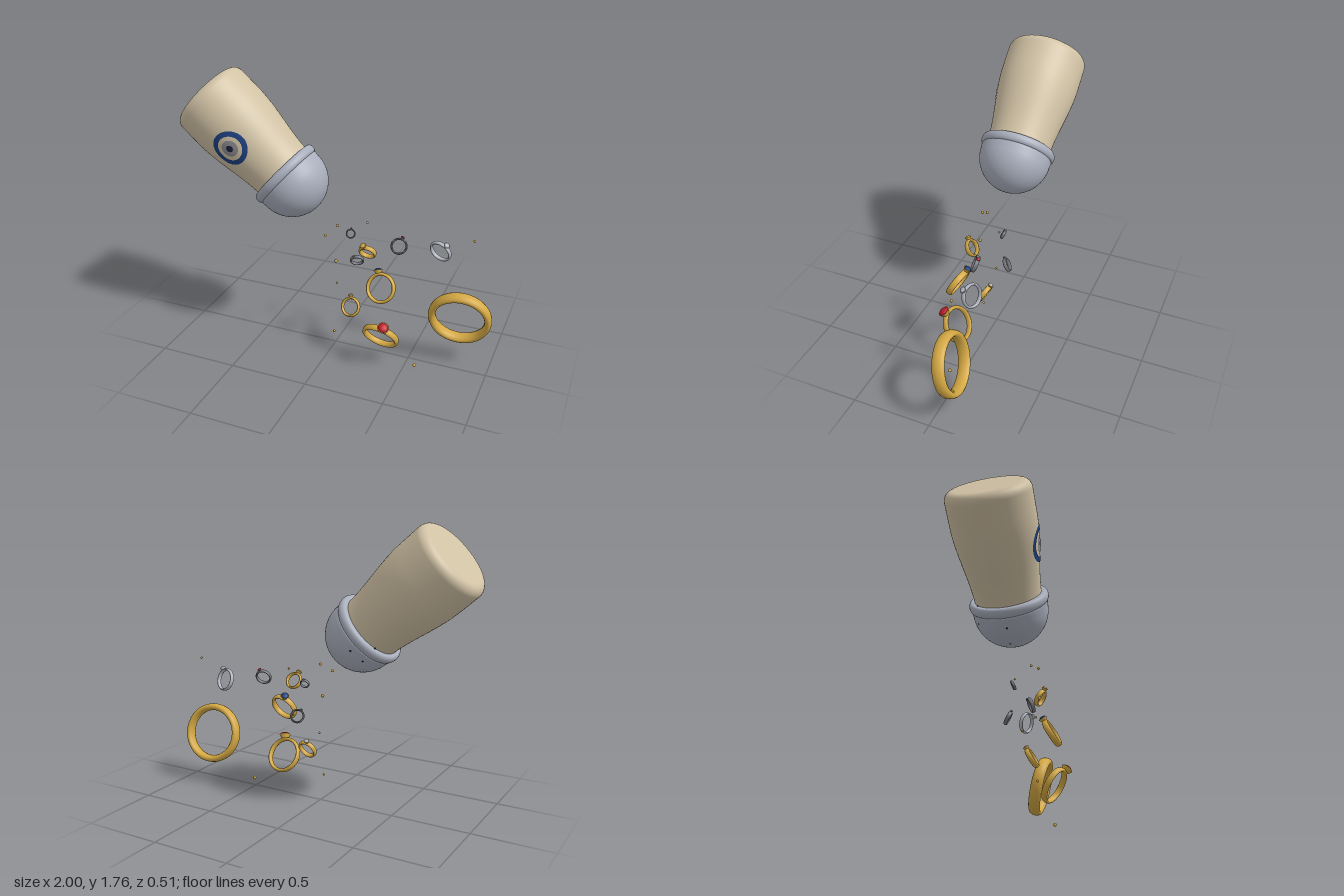
import * as THREE from 'three';

const material = (name, color) => {
  const m = new THREE.MeshStandardMaterial({ color });
  m.name = name;
  return m;
};
const clay = material('clay', 0xd1c2a5);
const lidMetal = material('lid metal', 0xa9aebc);
const gold = material('gold', 0xd4a843);
const silver = material('silver', 0xb2b6c0);
const darkSilver = material('dark silver', 0x77777f);
const blue = material('blue', 0x1d4080);
const red = material('red', 0xc0182a);
const grey = material('eye grey', 0x8c8c92);
const dark = material('dark', 0x1a2238);

const V = (x, y, z) => new THREE.Vector3(x, y, z);

function part(name, geometry, mat, parent) {
  const mesh = new THREE.Mesh(geometry, mat);
  mesh.name = name;
  parent.add(mesh);
  return mesh;
}

// Body radius at height s above the base
const bodyRadius = (s) => 0.253 - 0.054 * THREE.MathUtils.smoothstep(s, 0.2, 0.7);

// Flat ring or disc wrapped onto the body's side
function wrapped(inner, outer, lift) {
  const g = new THREE.RingGeometry(inner, outer, 48, 4);
  const p = g.attributes.position;
  for (let i = 0; i < p.count; i++) {
    const x = p.getX(i), y = p.getY(i) + 0.37;
    p.setXYZ(i, x, y, Math.sqrt(bodyRadius(y) ** 2 - x * x) + lift);
  }
  g.computeVertexNormals();
  return g;
}

function buildShaker() {
  const shaker = new THREE.Group();
  shaker.name = 'shaker';
  shaker.position.set(-0.856, 1.595, 0);
  shaker.rotation.z = THREE.MathUtils.degToRad(-131);

  // Waisted body with a rounded base
  const body = [new THREE.Vector2(0, 0), new THREE.Vector2(0.1, 0), new THREE.Vector2(0.19, 0)];
  for (let i = 0; i <= 8; i++) {
    const a = (i / 8) * Math.PI / 2;
    body.push(new THREE.Vector2(0.198 + 0.055 * Math.sin(a), 0.055 - 0.055 * Math.cos(a)));
  }
  for (let s = 0.1; s < 0.72; s += 0.03) body.push(new THREE.Vector2(bodyRadius(s), s));
  part('body', new THREE.LatheGeometry(body, 64), clay, shaker);

  // Lid collar with rounded edges
  const collar = [new THREE.Vector2(0.19, 0.66)];
  for (let i = 0; i <= 12; i++) {
    const a = (i / 12 - 0.5) * Math.PI;
    collar.push(new THREE.Vector2(0.217 + 0.021 * Math.cos(a), 0.69 + 0.03 * Math.sin(a)));
  }
  part('lidCollar', new THREE.LatheGeometry(collar, 64), lidMetal, shaker);

  // Domed cap
  const dome = [new THREE.Vector2(0.2, 0.712), new THREE.Vector2(0.224, 0.716), new THREE.Vector2(0.227, 0.725)];
  for (let i = 0; i <= 20; i++) {
    const a = (i / 20) * Math.PI / 2;
    dome.push(new THREE.Vector2(Math.max(0, 0.224 * Math.cos(a)), 0.75 + 0.224 * Math.sin(a)));
  }
  part('lidDome', new THREE.LatheGeometry(dome, 64), lidMetal, shaker);

  // Painted eye on the side
  part('eyeRing', wrapped(0.076, 0.107, 0.003), blue, shaker);
  part('eyeIris', wrapped(0.001, 0.051, 0.003), grey, shaker);
  part('eyePupil', wrapped(0.001, 0.021, 0.005), dark, shaker);
  return shaker;
}

// Small dark pouring holes over the dome
function buildHoles() {
  const holes = new THREE.Group();
  holes.name = 'pouringHoles';
  const right = V(-0.707, 0, 0.707), up = V(-0.3, 0.906, -0.3), out = V(-0.64, -0.42, -0.64);
  const spots = [[-0.37, 0.45], [0, 0.26], [-0.58, 0.1], [-0.26, -0.14], [0.24, -0.14], [0, -0.9], [0.42, -0.6]];
  for (const [a, b] of spots) {
    const dir = V(0, 0, 0).addScaledVector(right, a).addScaledVector(up, b)
      .addScaledVector(out, Math.sqrt(1 - a * a - b * b)).normalize();
    const hole = part('hole', new THREE.CircleGeometry(0.007, 12), dark, holes);
    hole.position.copy(dir).multiplyScalar(0.226).add(V(-0.29, 1.103, 0));
    hole.quaternion.setFromUnitVectors(V(0, 0, 1), dir);
  }
  return holes;
}

// Finger ring: outer radius, band thickness and half width, optional set stone
function buildRing({ name, metal, at, normal, outer, thick, half, top = [0, 1, 0], stone, size = 0 }) {
  const ring = new THREE.Group();
  ring.name = name;
  const z = V(...normal).normalize();
  const x = V(...top).cross(z).normalize();
  const y = z.clone().cross(x);
  ring.quaternion.setFromRotationMatrix(new THREE.Matrix4().makeBasis(x, y, z));
  ring.position.set(...at);
  const t = thick / 2;
  const band = new THREE.TorusGeometry(outer - t, t, 12, 56);
  band.scale(1, 1, half / t);
  part('band', band, metal, ring);
  if (size) {
    const setting = new THREE.CylinderGeometry(size, size * 0.55, size * 0.8, 20);
    part('setting', setting, metal, ring).position.y = outer + size * 0.2;
    const gem = new THREE.SphereGeometry(size * 0.85, 12, 8);
    gem.scale(1, 0.5, 1);
    part('stone', gem, stone, ring).position.y = outer + size * 0.6;
  }
  return ring;
}

const rings = [
  { name: 'largeGoldBangle', metal: gold, at: [0.8, 0.335, -0.06], normal: [0.1, -0.25, 0.96], outer: 0.197, thick: 0.046, half: 0.04 },
  { name: 'blueStoneRing', metal: gold, at: [0.34, 0.54, 0.113], normal: [-0.12, 0.46, 0.89], outer: 0.095, thick: 0.02, half: 0.02,
    top: [-0.4, 1, -0.4], stone: blue, size: 0.028 },
  { name: 'redStoneRing', metal: gold, at: [0.35, 0.203, 0.12], normal: [-0.08, -0.53, 0.84], outer: 0.119, thick: 0.023, half: 0.021,
    top: [0.35, 1, 0.65], stone: red, size: 0.037 },
  { name: 'smallGoldRing', metal: gold, at: [0.233, 0.742, 0.063], normal: [0, -0.52, 0.84], outer: 0.056, thick: 0.016, half: 0.016,
    top: [-0.35, 1, 0.6], stone: gold, size: 0.02 },
  { name: 'silverStoneRing', metal: gold, at: [0.115, 0.31, 0.033], normal: [-0.1, 0.45, 0.88], outer: 0.065, thick: 0.017, half: 0.016,
    top: [-0.2, 1, -0.5], stone: silver, size: 0.018 },
  { name: 'darkRedStoneRing', metal: darkSilver, at: [0.4, 0.767, -0.035], normal: [0.25, 0.38, 0.88], outer: 0.052, thick: 0.013, half: 0.013,
    top: [0.3, 1, -0.4], stone: red, size: 0.013 },
  { name: 'silverRing', metal: silver, at: [0.638, 0.738, -0.122], normal: [-0.28, -0.3, 0.9], outer: 0.073, thick: 0.015, half: 0.014,
    top: [0.7, 1, 0.5], stone: silver, size: 0.02 },
  { name: 'darkSilverRing', metal: darkSilver, at: [0.1, 0.571, -0.113], normal: [0.3, -0.46, 0.85], outer: 0.045, thick: 0.012, half: 0.012,
    top: [-0.4, 1, 0.5], stone: darkSilver, size: 0.009 },
  { name: 'tinyDarkRing', metal: darkSilver, at: [0.07, 0.773, -0.073], normal: [0.15, 0.42, 0.88], outer: 0.031, thick: 0.009, half: 0.009,
    top: [0, 1, -0.4], stone: darkSilver, size: 0.007 },
];

// Loose beads: x, y, z, radius
const beads = [
  [-0.024, 0.828, 0.108, 0.009], [0.03, 0.876, 0.05, 0.009], [0.174, 0.861, -0.09, 0.007], [0.04, 0.659, 0.097, 0.01],
  [0.008, 0.446, 0, 0.007], [0.024, 0.138, 0.085, 0.008], [0.565, 0.011, 0.078, 0.011], [0.845, 0.855, -0.1, 0.008],
];

export function createModel() {
  const model = new THREE.Group();
  model.name = 'shakerPouringRings';
  model.add(buildShaker(), buildHoles());
  for (const spec of rings) model.add(buildRing(spec));
  for (const [x, y, z, r] of beads) {
    part('bead', new THREE.SphereGeometry(r, 12, 8), gold, model).position.set(x, y, z);
  }
  return model;
}
